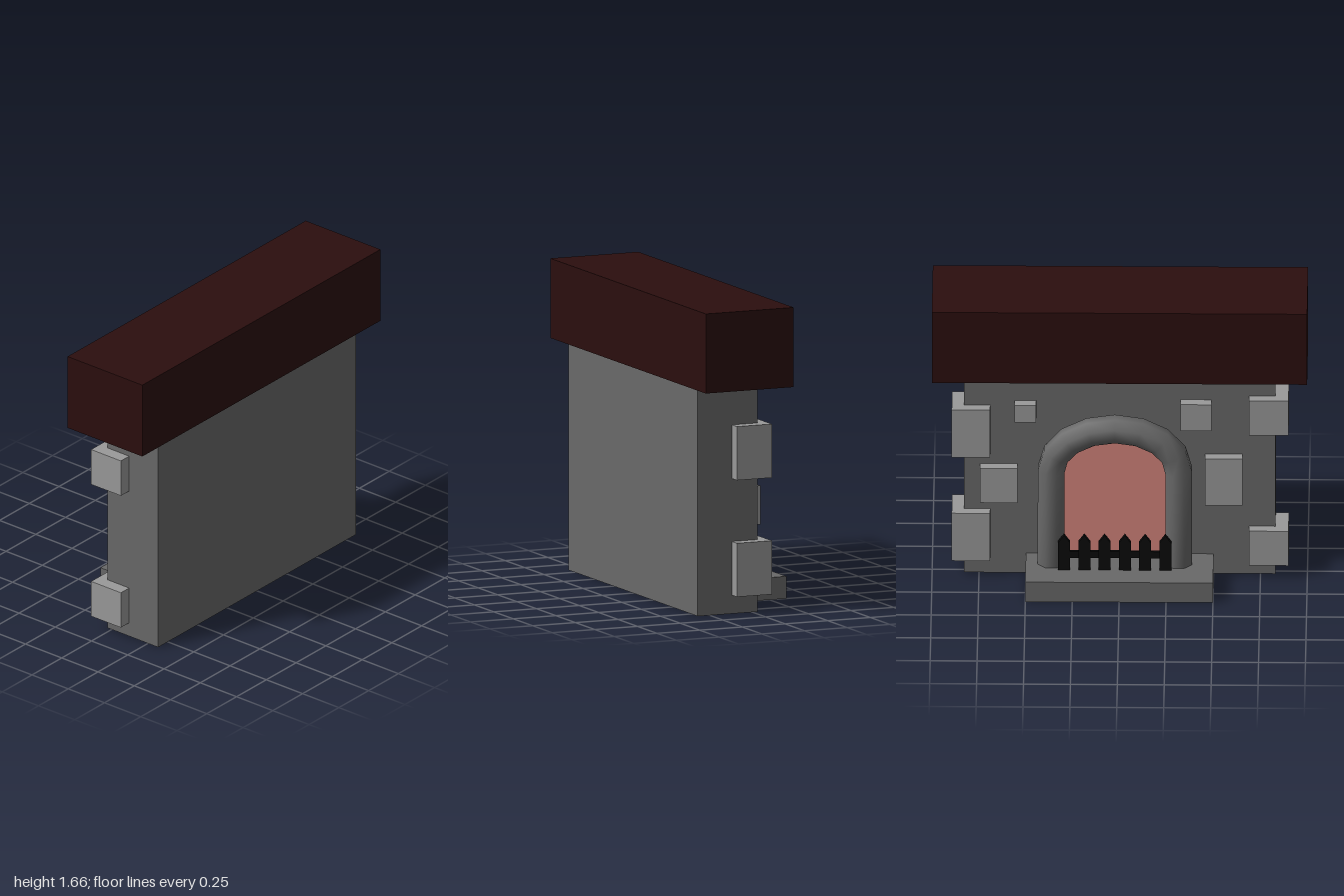
import * as THREE from 'three';

const mat = (color) => new THREE.MeshStandardMaterial({ color });
const wallMat = mat(0x696969);
const stoneMat = mat(0x999999);
const woodMat = mat(0x2b0e0e);
const fireMat = mat(0xd5857c);
const ironMat = mat(0x0a0a0a);

// Box given by its minimum and maximum on each axis
function block(name, material, [x0, x1], [y0, y1], [z0, z1]) {
  const mesh = new THREE.Mesh(new THREE.BoxGeometry(x1 - x0, y1 - y0, z1 - z0), material);
  mesh.position.set((x0 + x1) / 2, (y0 + y1) / 2, (z0 + z1) / 2);
  mesh.name = name;
  return mesh;
}

// Centre line of the arch: a leg, a half ellipse, a leg
const CX = 0.025, HALF = 0.34, BASE = 0.12, SPRING = 0.68, RISE = 0.25;
function archLine() {
  const points = [new THREE.Vector2(CX + HALF, BASE)];
  for (let i = 0; i <= 8; i++) {
    const a = (i / 8) * Math.PI;
    points.push(new THREE.Vector2(CX + HALF * Math.cos(a), SPRING + RISE * Math.sin(a)));
  }
  points.push(new THREE.Vector2(CX - HALF, BASE));
  return points;
}

// Octagonal section swept along a flat line, with smooth normals
function sweep(line, radius, z) {
  const sides = 8, positions = [], index = [];
  line.forEach((p, i) => {
    const before = line[Math.max(i - 1, 0)], after = line[Math.min(i + 1, line.length - 1)];
    const t1 = p.clone().sub(before).normalize(), t2 = after.clone().sub(p).normalize();
    const t = t1.add(t2).normalize();
    for (let j = 0; j < sides; j++) {
      const a = ((j + 0.5) / sides) * Math.PI * 2, r = radius * Math.cos(a);
      positions.push(p.x + t.y * r, p.y - t.x * r, z + radius * Math.sin(a));
      if (i < line.length - 1) {
        const k = (j + 1) % sides, row = i * sides, next = row + sides;
        index.push(row + j, next + j, row + k, row + k, next + j, next + k);
      }
    }
  });
  const geometry = new THREE.BufferGeometry();
  geometry.setAttribute('position', new THREE.Float32BufferAttribute(positions, 3));
  geometry.setIndex(index);
  geometry.computeVertexNormals();
  return geometry;
}

function extrude(name, points, depth, material, z) {
  const geometry = new THREE.ExtrudeGeometry(new THREE.Shape(points), { depth, bevelEnabled: false });
  const mesh = new THREE.Mesh(geometry, material);
  mesh.position.z = z;
  mesh.name = name;
  return mesh;
}

export function createModel() {
  const group = new THREE.Group();
  group.name = 'fireplace';

  // Wall, mantel and hearth
  group.add(
    block('wall', wallMat, [-0.83, 0.83], [0, 1.23], [-0.03, 0.32]),
    block('mantel', woodMat, [-1, 1], [1.23, 1.66], [-0.165, 0.35]),
    block('hearth', wallMat, [-0.5, 0.5], [0, 0.12], [-0.35, -0.03]),
  );

  // Corner stones wrap the wall's edges
  const stones = new THREE.Group();
  stones.name = 'stones';
  for (const y of [[0.1, 0.39], [0.73, 1.02]])
    stones.add(block('leftCornerStone', stoneMat, [0.69, 0.895], y, [-0.085, 0.12]));
  for (const y of [[0.08, 0.29], [0.875, 1.085]])
    stones.add(block('rightCornerStone', stoneMat, [-0.9, -0.69], y, [-0.085, 0.12]));

  // Stones set into the wall's face
  const faceStones = [
    [[0.445, 0.56], [0.945, 1.05]],
    [[0.545, 0.745], [0.455, 0.665]],
    [[-0.49, -0.325], [0.9, 1.06]],
    [[-0.655, -0.455], [0.445, 0.73]],
  ];
  for (const [x, y] of faceStones)
    stones.add(block('faceStone', stoneMat, x, y, [-0.085, -0.02]));
  group.add(stones);

  // Arch and the glowing opening behind it
  const line = archLine();
  const arch = new THREE.Mesh(sweep(line, 0.077, -0.122), wallMat);
  arch.name = 'arch';
  group.add(arch, extrude('fireOpening', line, 0.02, fireMat, -0.04));

  // Grate of pointed bars
  const grate = new THREE.Group();
  grate.name = 'grate';
  for (let i = 0; i < 6; i++) {
    const x = CX + (i - 2.5) * 0.108, w = 0.032;
    const outline = [[x - w, 0.12], [x + w, 0.12], [x + w, 0.285], [x, 0.33], [x - w, 0.285]];
    grate.add(extrude('picket', outline.map((p) => new THREE.Vector2(...p)), 0.025, ironMat, -0.215));
  }
  grate.add(block('rail', ironMat, [-0.27, 0.32], [0.19, 0.23], [-0.208, -0.193]));
  group.add(grate);

  return group;
}
